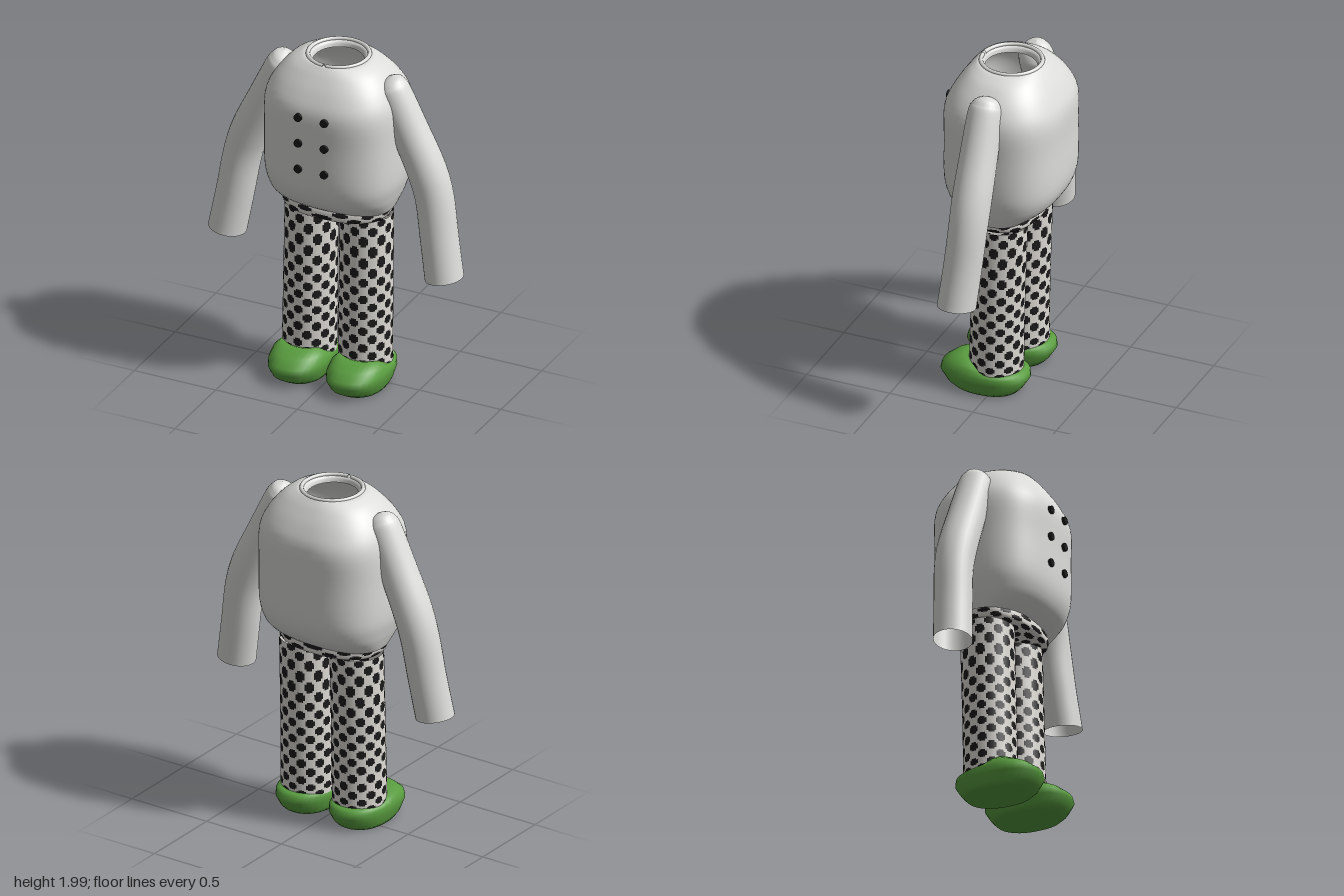
import * as THREE from 'three';

const paint = (name, color) => new THREE.MeshStandardMaterial({ name, color, side: THREE.DoubleSide });

// Smooth interpolation of every column in a list of stations, t from 0 to 1
function sample(stations, t) {
  const last = stations.length - 1;
  const i = Math.min(Math.floor(t * last), last - 1);
  const f = t * last - i;
  const at = (k) => stations[Math.max(0, Math.min(last, k))];
  return stations[i].map((b, k) => {
    const a = at(i - 1)[k], c = at(i + 1)[k], d = at(i + 2)[k];
    return b + 0.5 * f * (c - a + f * (2 * a - 5 * b + 4 * c - d + f * (3 * (b - c) + d - a)));
  });
}

// Closed rings stacked from bottom to top; isDark picks the second material
function loft(nu, nv, point, isDark = () => false) {
  const positions = [], light = [], dark = [];
  for (let j = 0; j <= nv; j++) {
    for (let i = 0; i < nu; i++) positions.push(...point((i / nu) * Math.PI * 2, j / nv));
  }
  for (let j = 0; j < nv; j++) {
    for (let i = 0; i < nu; i++) {
      const n = (i + 1) % nu;
      const a = j * nu + i, b = j * nu + n, c = a + nu, d = b + nu;
      (isDark(i, j) ? dark : light).push(a, c, b, b, c, d);
    }
  }
  const g = new THREE.BufferGeometry();
  g.setAttribute('position', new THREE.Float32BufferAttribute(positions, 3));
  g.setIndex(light.concat(dark));
  g.addGroup(0, light.length, 0);
  g.addGroup(light.length, dark.length, 1);
  g.computeVertexNormals();
  return g;
}

// Checker of cells with clipped corners, five grid steps per cell
const CELL = 5;
function checker(i, j) {
  const edge = (k) => k % CELL === 0 || k % CELL === CELL - 1;
  return (Math.floor(i / CELL) + Math.floor(j / CELL)) % 2 === 0 && !(edge(i) && edge(j));
}

const power = (v, n) => Math.sign(v) * Math.abs(v) ** (2 / n);

export function createModel() {
  const model = new THREE.Group();
  model.name = 'headlessOutfit';
  const white = paint('white jacket', 0xdcdcda);
  const cloth = paint('pale trouser cloth', 0xe0ddd7);
  const black = paint('black', 0x1b1b1b);
  const green = paint('green shoe', 0x5a9e40);

  const add = (name, geometry, material) => {
    const mesh = new THREE.Mesh(geometry, material);
    mesh.name = name;
    model.add(mesh);
    return mesh;
  };

  // Jacket body: y, half width, half depth, squareness
  const body = [
    [1.10, 0.33, 0.19, 2.6], [1.15, 0.35, 0.255, 2.7], [1.21, 0.37, 0.305, 2.7],
    [1.32, 0.393, 0.333, 2.7], [1.55, 0.396, 0.333, 2.7], [1.74, 0.392, 0.333, 2.7],
    [1.85, 0.35, 0.288, 2.6], [1.935, 0.28, 0.23, 2.4], [1.975, 0.22, 0.195, 2.2],
    [1.988, 0.182, 0.178, 2], [1.978, 0.15, 0.152, 2], [1.95, 0.14, 0.145, 2],
  ];
  add('jacketBody', loft(64, 44, (a, t) => {
    const [y, rx, rz, n] = sample(body, t);
    return [rx * power(Math.cos(a), n), y, -0.007 + rz * power(Math.sin(a), n)];
  }), white);

  // Collar band with a small gap at the front
  const collarGeometry = new THREE.TorusGeometry(0.17, 0.012, 8, 48, Math.PI * 2 - 0.1);
  collarGeometry.rotateZ(Math.PI / 2 + 0.05);
  collarGeometry.rotateX(Math.PI / 2);
  add('collar', collarGeometry, white).position.set(0, 1.988, -0.01);

  // Two columns of buttons
  const buttonGeometry = new THREE.CylinderGeometry(0.023, 0.023, 0.03, 14);
  buttonGeometry.rotateX(Math.PI / 2);
  for (const x of [-0.08, 0.08]) {
    for (const y of [1.41, 1.57, 1.73]) add('button', buttonGeometry, black).position.set(x, y, 0.325);
  }

  // Trouser seat: shallow checked bowl, y, half width, half depth
  const seat = [
    [1.03, 0, 0], [1.032, 0.1, 0.07], [1.038, 0.2, 0.14],
    [1.05, 0.295, 0.195], [1.09, 0.32, 0.2], [1.13, 0.315, 0.185],
  ];
  add('trouserSeat', loft(22 * CELL, 8 * CELL, (a, t) => {
    const [y, rx, rz] = sample(seat, t);
    return [rx * power(Math.cos(a), 2.4), y, rz * power(Math.sin(a), 2.4)];
  }, checker), [cloth, black]);

  // Sleeve: x, y, z, radius, tilt of the ring
  const sleeve = [
    [0.665, 0.765, 0.024, 0.109, 0.16], [0.625, 1.0, 0.005, 0.108, 0.17],
    [0.588, 1.23, -0.01, 0.109, 0.22], [0.535, 1.40, -0.012, 0.111, 0.34],
    [0.435, 1.62, -0.008, 0.106, 0.43], [0.345, 1.82, -0.004, 0.099, 0.43],
    [0.325, 1.875, -0.005, 0.083, 0.4], [0.325, 1.91, -0.008, 0.052, 0.35],
    [0.332, 1.932, -0.01, 0.001, 0.3],
  ];
  // Trouser leg: y, x, z, half width, half depth
  const leg = [
    [0.13, 0.172, 0.005, 0.152, 0.152], [0.4, 0.17, 0, 0.152, 0.15],
    [0.7, 0.17, -0.008, 0.15, 0.15], [1.05, 0.168, -0.018, 0.15, 0.152],
  ];
  // Shoe: y, half width, back z, front z
  const shoe = [
    [0.01, 0, 0.05, 0.06], [0.01, 0.138, -0.13, 0.245], [0.035, 0.152, -0.155, 0.285],
    [0.09, 0.167, -0.19, 0.323], [0.125, 0.166, -0.185, 0.312], [0.165, 0.155, -0.165, 0.26],
    [0.2, 0.135, -0.14, 0.175], [0.17, 0, 0.0, 0.01],
  ];

  for (const s of [1, -1]) {
    const side = s > 0 ? 'left' : 'right';

    add(side + 'Sleeve', loft(28, 40, (a, t) => {
      const [x, y, z, r, tilt] = sample(sleeve, t);
      const across = r * Math.cos(a);
      return [s * x + across * Math.cos(tilt), y + s * across * Math.sin(tilt), z + r * Math.sin(a)];
    }), white);

    add(side + 'TrouserLeg', loft(18 * CELL, 18 * CELL, (a, t) => {
      const [y, x, z, rx, rz] = sample(leg, t);
      return [s * x + rx * Math.cos(a), y, z + rz * Math.sin(a)];
    }, checker), [cloth, black]);

    // The upper edge of the shoe drops towards the heel
    add(side + 'Shoe', loft(32, 7, (a, t) => {
      const [y, rx, back, front] = shoe[Math.round(t * 7)];
      const z = (back + front) / 2 + ((front - back) / 2) * power(Math.sin(a), 2.3);
      const keep = 0.3 + 0.7 * THREE.MathUtils.smoothstep(z, -0.02, 0.15);
      const top = y > 0.125 ? 0.125 + (y - 0.125) * keep : y;
      return [s * 0.178 + rx * power(Math.cos(a), 2.3), top, z];
    }), green);
  }
  return model;
}
